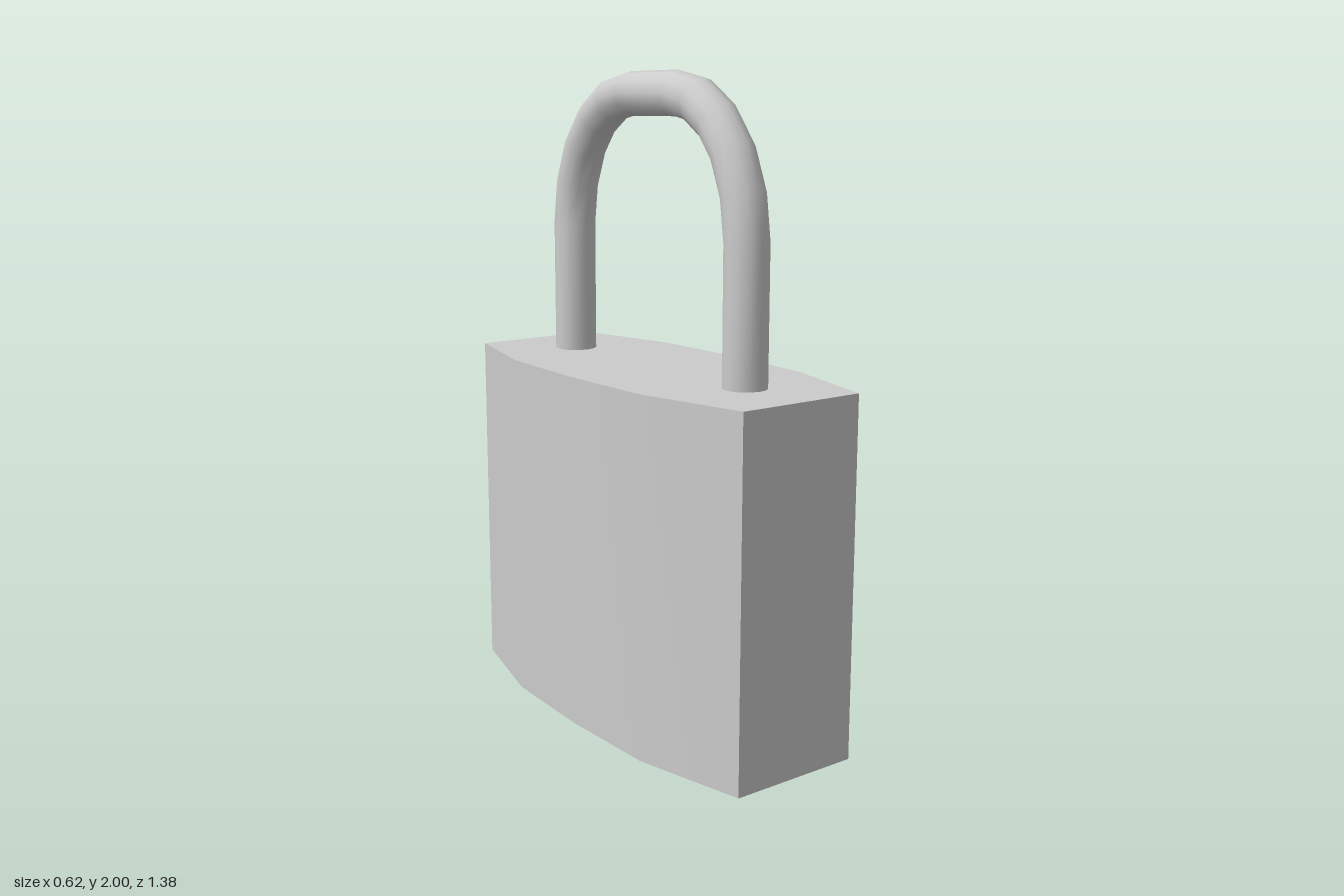
import * as THREE from 'three';
import { mergeVertices, toCreasedNormals } from 'three/addons/utils/BufferGeometryUtils.js';

const BODY_HEIGHT = 1.105;
const SHACKLE_RADIUS = 0.067;

// Body: bowed plan outline extruded upwards, soft across the bowed faces
function bodyGeometry() {
  const side = [[0.21, 0.69], [0.297, 0.34], [0.31, 0], [0.297, -0.34], [0.21, -0.69]];
  const outline = [...side, ...side.map(([x, z]) => [-x, -z])];
  const shape = new THREE.Shape(outline.map(([x, z]) => new THREE.Vector2(x, -z)));
  const geometry = new THREE.ExtrudeGeometry(shape, { depth: BODY_HEIGHT, bevelEnabled: false });
  geometry.rotateX(-Math.PI / 2);
  return toCreasedNormals(geometry, Math.PI / 6);
}

// Shackle: a 12-sided cylinder whose rings are laid along a bent centre line
function shackleGeometry() {
  const half = [[0.443, BODY_HEIGHT - 0.02], [0.443, 1.52], [0.425, 1.65], [0.378, 1.765],
    [0.305, 1.855], [0.212, 1.914], [0.112, 1.933]];
  const path = [...half, ...half.map(([z, y]) => [-z, y]).reverse()]
    .map(([z, y]) => new THREE.Vector3(0, y, z));
  const last = path.length - 1;
  const geometry = new THREE.CylinderGeometry(SHACKLE_RADIUS, SHACKLE_RADIUS, last, 12, last, true);
  const position = geometry.attributes.position;
  const sideways = new THREE.Vector3(1, 0, 0);

  // Each ring lies in the mitre plane between its two neighbouring segments
  const rings = path.map((point, i) => {
    const before = point.clone().sub(path[Math.max(i - 1, 0)]).normalize();
    const after = path[Math.min(i + 1, last)].clone().sub(point).normalize();
    const tangent = before.clone().add(after).normalize();
    const mitre = 1 / tangent.dot(i < last ? after : before);
    return { point, across: sideways.clone().cross(tangent).multiplyScalar(mitre) };
  });
  const v = new THREE.Vector3();
  for (let i = 0; i < position.count; i++) {
    v.fromBufferAttribute(position, i);
    const { point, across } = rings[Math.round(v.y + last / 2)];
    const [x, depth] = [v.x, v.z];
    v.copy(point).addScaledVector(sideways, x).addScaledVector(across, depth);
    position.setXYZ(i, v.x, v.y, v.z);
  }

  // Weld the seam for smooth shading all round
  geometry.deleteAttribute('uv');
  geometry.deleteAttribute('normal');
  const welded = mergeVertices(geometry, 1e-4);
  welded.computeVertexNormals();
  return welded;
}

export function createModel() {
  const group = new THREE.Group();
  group.name = 'padlock';
  const material = new THREE.MeshStandardMaterial({ color: 0xcccccc });
  const addPart = (name, geometry) => {
    const mesh = new THREE.Mesh(geometry, material);
    mesh.name = name;
    group.add(mesh);
  };
  addPart('body', bodyGeometry());
  addPart('shackle', shackleGeometry());
  return group;
}
